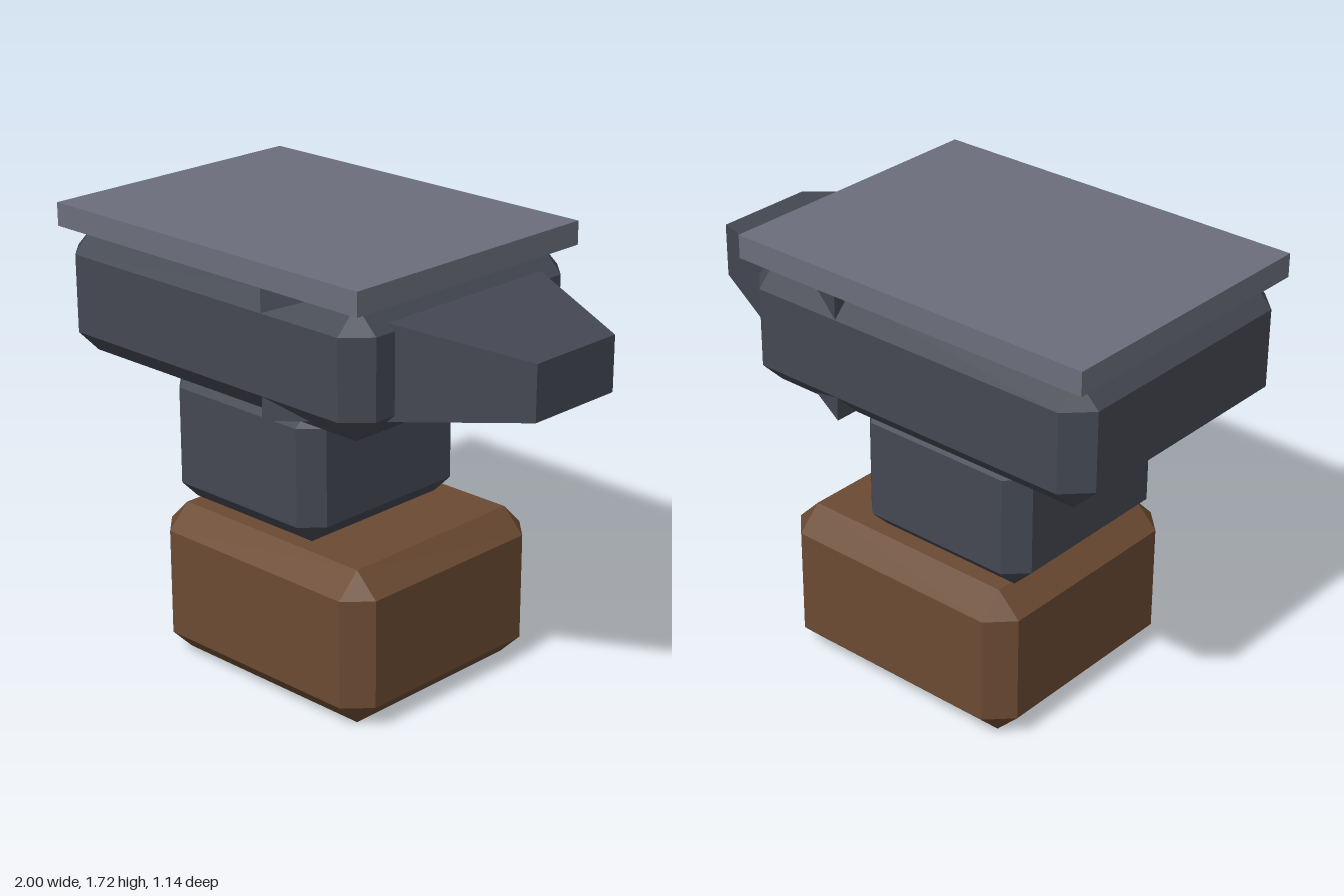
import * as THREE from 'three';
import { ConvexGeometry } from 'three/addons/geometries/ConvexGeometry.js';

const material = (name, color) => {
  const m = new THREE.MeshStandardMaterial({ color });
  m.name = name;
  return m;
};

// Box with every edge chamfered by b: three inset rectangles meet at each corner
function chamferedBox(w, h, d, b) {
  const points = [];
  for (const x of [-w / 2, w / 2])
    for (const y of [-h / 2, h / 2])
      for (const z of [-d / 2, d / 2]) {
        const inX = x - Math.sign(x) * b;
        const inY = y - Math.sign(y) * b;
        const inZ = z - Math.sign(z) * b;
        points.push(
          new THREE.Vector3(x, inY, inZ),
          new THREE.Vector3(inX, y, inZ),
          new THREE.Vector3(inX, inY, z)
        );
      }
  return new ConvexGeometry(points);
}

// Box whose +x end is scaled down in y and z
function taperedBox(w, h, d, scaleY, scaleZ) {
  const geometry = new THREE.BoxGeometry(w, h, d);
  const p = geometry.attributes.position;
  for (let i = 0; i < p.count; i++) {
    if (p.getX(i) > 0) {
      p.setY(i, p.getY(i) * scaleY);
      p.setZ(i, p.getZ(i) * scaleZ);
    }
  }
  geometry.computeVertexNormals();
  return geometry;
}

export function createModel() {
  const model = new THREE.Group();
  model.name = 'anvil';
  const wood = material('wood', 0x6b4a32);
  const iron = material('dark iron', 0x444852);
  const steel = material('worn steel', 0x6b6f7b);

  const add = (name, geometry, mat, x, y) => {
    const mesh = new THREE.Mesh(geometry, mat);
    mesh.name = name;
    mesh.position.set(x, y, 0);
    model.add(mesh);
  };

  // Wooden block and iron waist
  add('woodenBlock', chamferedBox(1.074, 0.607, 0.98, 0.092), wood, -0.078, 0.3035);
  add('waist', chamferedBox(0.767, 0.535, 0.816, 0.077), iron, -0.232, 0.8745);

  // Body, with the horn running out of it
  add('body', chamferedBox(1.535, 0.486, 1.144, 0.092), iron, -0.2325, 1.385);
  add('horn', taperedBox(0.924, 0.484, 1.142, 0.43, 0.358), iron, 0.538, 1.384);

  // Flat striking face on top
  add('strikingFace', new THREE.BoxGeometry(1.535, 0.09, 1.144), steel, -0.2325, 1.672);

  return model;
}
